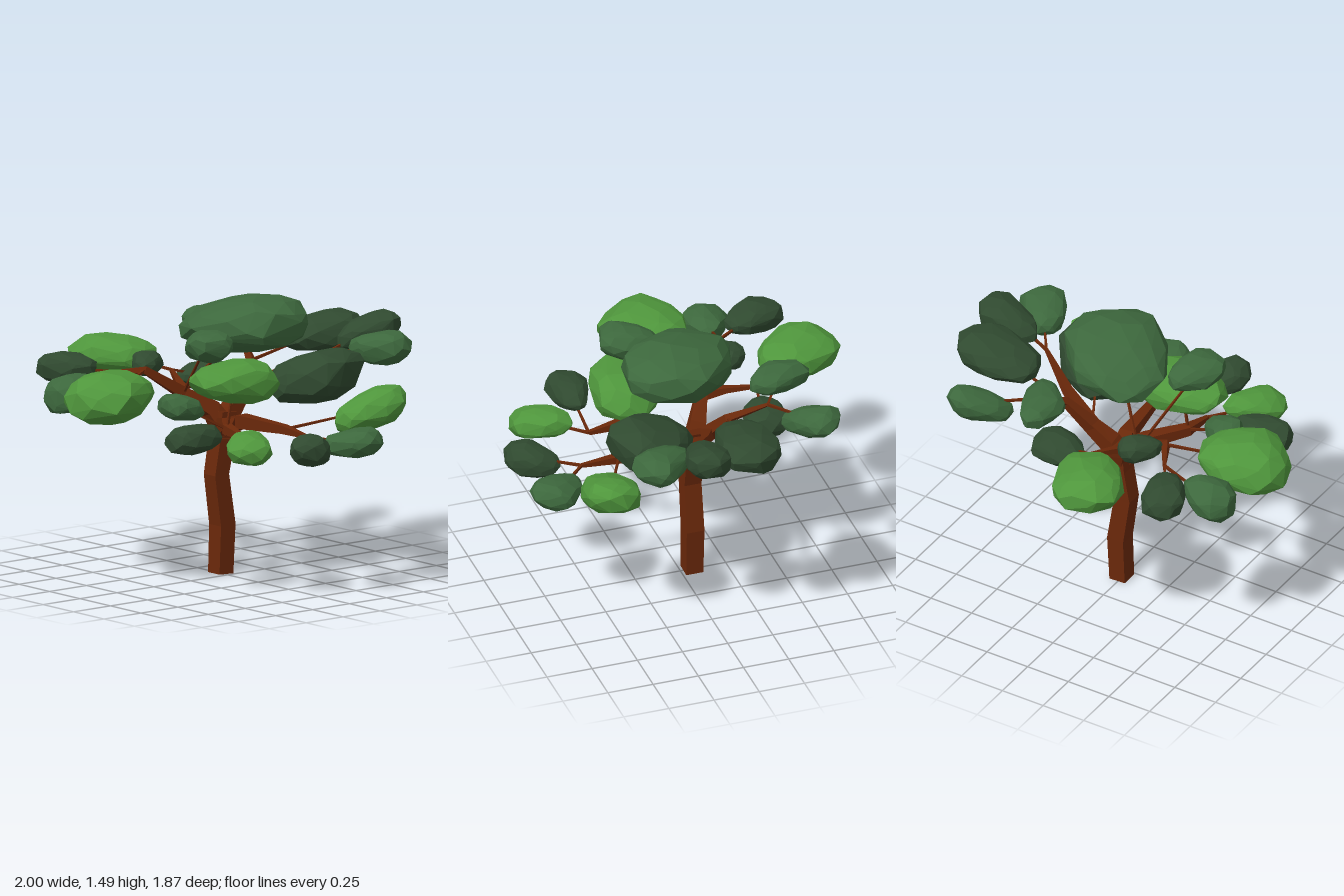
import * as THREE from 'three';
import { ConvexGeometry } from 'three/addons/geometries/ConvexGeometry.js';

const V = (p) => new THREE.Vector3(p[0], p[1], p[2]);
const material = (color) => new THREE.MeshStandardMaterial({ color, flatShading: true });
const bark = material(0x6a280a);
const BRIGHT = material(0x4f963c), MID = material(0x3d683d), DARK = material(0x304a30);

let seed = 7;
function random() {
  seed = (seed * 16807) % 2147483647;
  return seed / 2147483647;
}

// Square-section tapered limb; each point is [x, y, z, halfWidth]
function limb(name, points) {
  const pts = points.map(V), n = pts.length;
  const run = pts[n - 1].clone().sub(pts[0]).normalize();
  const ref = Math.abs(run.z) > 0.7 ? new THREE.Vector3(0, 1, 0) : new THREE.Vector3(0, 0, 1);
  const pos = [], index = [];
  pts.forEach((p, i) => {
    const t = pts[Math.min(i + 1, n - 1)].clone().sub(pts[Math.max(i - 1, 0)]).normalize();
    const u = new THREE.Vector3().crossVectors(ref, t).normalize();
    const v = new THREE.Vector3().crossVectors(t, u);
    for (const [a, b] of [[-1, -1], [1, -1], [1, 1], [-1, 1]]) {
      const r = points[i][3];
      pos.push(...p.clone().addScaledVector(u, a * r).addScaledVector(v, b * r).toArray());
    }
    if (i === 0) return;
    for (let k = 0; k < 4; k++) {
      const a = (i - 1) * 4 + k, b = (i - 1) * 4 + (k + 1) % 4;
      index.push(a, b, b + 4, a, b + 4, a + 4);
    }
  });
  const e = (n - 1) * 4;
  index.push(0, 2, 1, 0, 3, 2, e, e + 1, e + 2, e, e + 2, e + 3);
  const geometry = new THREE.BufferGeometry();
  geometry.setAttribute('position', new THREE.Float32BufferAttribute(pos, 3));
  geometry.setIndex(index);
  geometry.computeVertexNormals();
  const mesh = new THREE.Mesh(geometry, bark);
  mesh.name = name;
  return mesh;
}

const swell = (v) => Math.sign(v) * Math.abs(v) ** 0.88;

// Faceted teardrop of leaves filling the box, widening away from its twig
function leafClump([x0, x1, y0, y1, z0, z1], mat, from, tilt = 0.12, stretch = 1.4) {
  const center = new THREE.Vector3((x0 + x1) / 2, (y0 + y1) / 2, (z0 + z1) / 2);
  const size = new THREE.Vector3(x1 - x0, y1 - y0, z1 - z0);
  const yaw = Math.atan2(center.z - from[2], center.x - from[0]);
  const taper = stretch < 1.35 ? 0.12 : 0.28;
  const pts = [], count = 64;
  for (let i = 0; i < count; i++) {
    const h = 1 - (2 * i + 1) / count, r = Math.sqrt(1 - h * h);
    const turn = i * 2.39996 + random() * 0.5, s = 0.92 + random() * 0.12;
    const a = swell(r * Math.cos(turn)) * s;
    const b = swell(r * Math.sin(turn)) * s * (1 + taper * a);
    const y = swell(h) * s * (0.45 + 0.08 * a) + tilt * a;
    const along = a * stretch;
    pts.push(new THREE.Vector3(
      along * Math.cos(yaw) - b * Math.sin(yaw), y,
      along * Math.sin(yaw) + b * Math.cos(yaw)));
  }
  // Fit the lumpy shape to its box
  const box = new THREE.Box3().setFromPoints(pts);
  const mid = box.getCenter(new THREE.Vector3()), scale = size.divide(box.getSize(new THREE.Vector3()));
  pts.forEach((p) => p.sub(mid).multiply(scale).add(center));
  const mesh = new THREE.Mesh(new ConvexGeometry(pts), mat);
  mesh.name = 'leafClump';
  return { mesh, center };
}

// Joints of the limbs
const fork = [0.02, 0.77, -0.06, 0.05];
const frontKnee = [0.08, 0.82, 0.37, 0.022], frontTip = [0.07, 0.81, 0.57, 0.009];
const sideKnee = [-0.21, 0.84, 0.25, 0.026], sideTip = [-0.22, 0.81, 0.43, 0.01];
const leftLow = [-0.16, 0.96, -0.17, 0.03], leftKnee = [-0.37, 1.1, -0.23, 0.02], leftTip = [-0.45, 1.08, -0.37, 0.008];
const backTip = [-0.03, 1.03, -0.43, 0.008];
const rightLow = [0.17, 0.93, -0.09, 0.034], rightKnee = [0.37, 1.03, -0.01, 0.022], rightTip = [0.58, 1.13, 0.12, 0.008];
const upKnee = [0.29, 1.08, -0.16, 0.02], upTip = [0.38, 1.18, -0.35, 0.008];

const limbs = [
  ['frontLimb', [fork, [0.05, 0.82, 0.06, 0.036], frontKnee, frontTip]],
  ['sideLimb', [fork, [-0.06, 0.82, 0.08, 0.034], sideKnee, sideTip]],
  ['leftLimb', [fork, [-0.03, 0.87, -0.1, 0.042], leftLow, leftKnee, leftTip]],
  ['backLimb', [leftLow, [-0.1, 1.0, -0.29, 0.016], backTip]],
  ['rightLimb', [fork, [0.07, 0.85, -0.07, 0.044], rightLow, rightKnee, rightTip]],
  ['upperLimb', [rightLow, upKnee, upTip]],
];

// Clumps: box [x0, x1, y0, y1, z0, z1], colour, joint its twig leaves, tilt, stretch
const frontClumps = [
  [[-0.23, 0.02, 0.71, 0.89, 0.65, 0.93], DARK, frontTip],
  [[0.09, 0.38, 0.71, 0.87, 0.61, 0.91], MID, frontTip],
  [[0.3, 0.71, 0.78, 1.02, 0.4, 0.72], BRIGHT, frontKnee, 0.25, 1.1],
  [[-0.73, -0.39, 0.78, 0.93, 0.3, 0.53], DARK, sideTip, -0.05],
  [[-0.54, -0.26, 0.74, 0.9, 0.49, 0.8], BRIGHT, sideTip, -0.1, 1.55],
  [[-0.57, -0.35, 0.91, 1.05, 0.06, 0.28], MID, sideKnee],
  [[-0.42, 0.08, 0.97, 1.2, 0.08, 0.43], BRIGHT, sideKnee, -0.05, 1.3],
];
const leftClumps = [
  [[-1.0, -0.5, 0.9, 1.17, -0.28, 0.18], BRIGHT, leftKnee, -0.05, 1.1],
  [[-0.73, -0.47, 1.0, 1.17, -0.77, -0.44], DARK, leftTip, -0.05],
  [[-0.88, -0.58, 0.9, 1.1, -0.52, -0.27], MID, leftTip, -0.12],
  [[-0.37, -0.16, 1.04, 1.17, -0.44, -0.24], DARK, leftKnee, 0, 1.5],
  [[-0.44, -0.17, 1.2, 1.37, 0.03, 0.35], MID, leftLow, 0.05],
  [[-0.41, 0.0, 0.99, 1.2, -0.94, -0.49], BRIGHT, backTip, 0, 1.25],
  [[0.02, 0.33, 0.9, 1.06, -0.52, -0.27], DARK, backTip, 0],
  [[-0.23, 0.41, 1.19, 1.49, -0.27, 0.36], MID, leftLow, 0.08, 1.25],
];
const rightClumps = [
  [[0.65, 1.0, 1.13, 1.32, 0.04, 0.27], DARK, rightTip, 0.2, 1.6],
  [[0.61, 0.9, 1.08, 1.26, 0.2, 0.53], MID, rightTip, 0.05],
  [[0.12, 0.6, 0.92, 1.21, 0.05, 0.52], DARK, rightLow, 0.15, 1.15],
  [[0.49, 0.98, 1.09, 1.29, -0.28, 0.06], DARK, upKnee, 0.08, 1.2],
  [[0.44, 0.76, 1.08, 1.28, -0.66, -0.39], MID, upTip, 0.28, 1.65],
  [[0.13, 0.38, 1.18, 1.33, -0.63, -0.28], MID, upTip, -0.05],
];

export function createModel() {
  const tree = new THREE.Group();
  tree.name = 'tree';

  // Crooked trunk
  tree.add(limb('trunk', [
    [0.004, 0, -0.062, 0.047], [0.015, 0.26, -0.062, 0.049], [-0.025, 0.53, -0.062, 0.047],
    [0.008, 0.7, -0.062, 0.049], [0.025, 0.86, -0.062, 0.05],
  ]));

  // Limbs
  for (const [name, points] of limbs) tree.add(limb(name, points));

  // Leaf clumps, each on a thin twig
  for (const [box, mat, joint, tilt, stretch] of [...frontClumps, ...leftClumps, ...rightClumps]) {
    const { mesh, center } = leafClump(box, mat, joint, tilt, stretch);
    const start = [joint[0], joint[1], joint[2], 0.007];
    tree.add(mesh, limb('twig', [start, [...center.toArray(), 0.004]]));
  }
  return tree;
}
